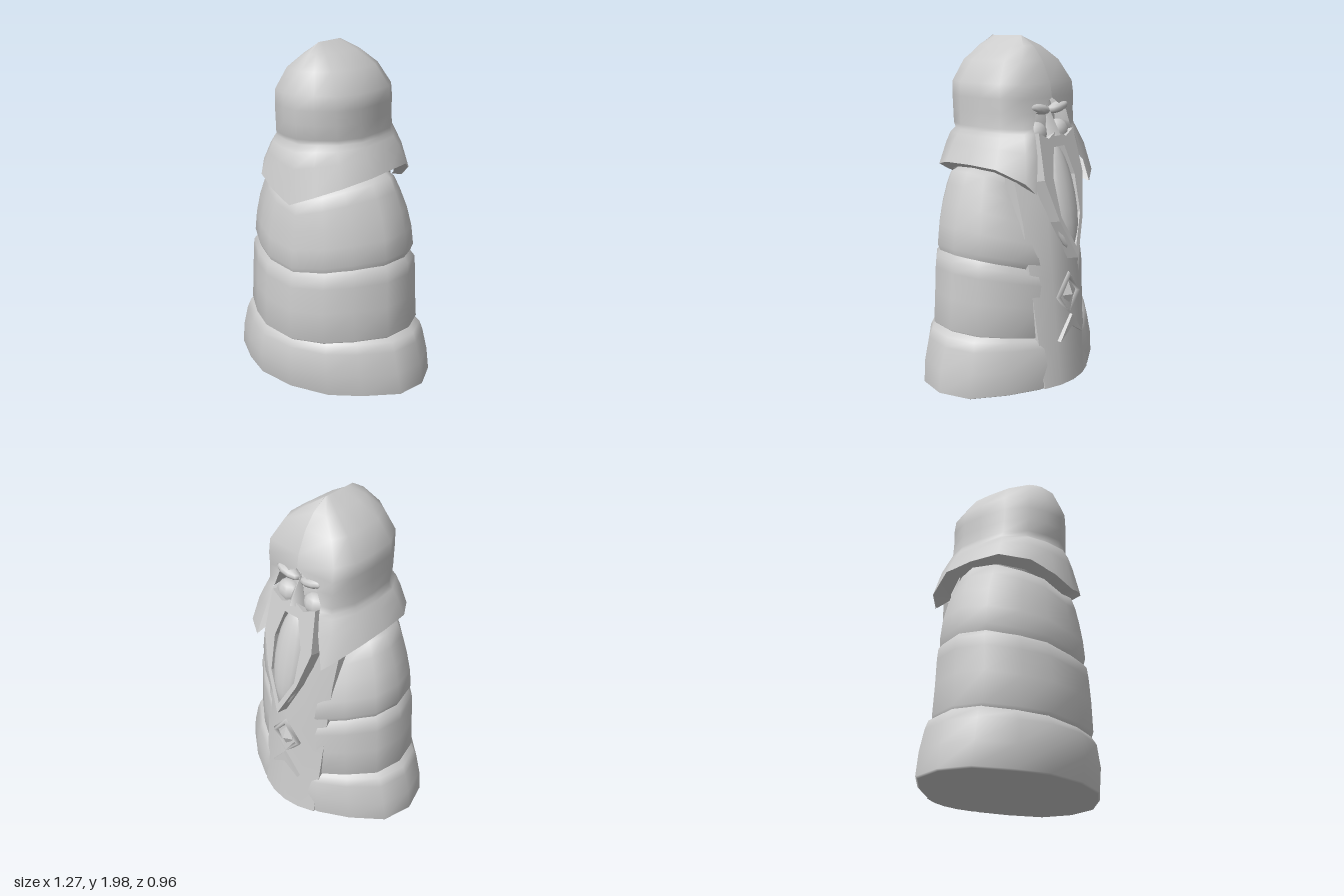
import * as THREE from 'three';

const stone = new THREE.MeshStandardMaterial({ color: 0xcccccc, side: THREE.DoubleSide });
stone.name = 'grey stone';

// Half outlines seen from above: [x / half width, z / depth], from +z round to -z
const ROBE = [[0, 1], [0.38, 0.92], [0.65, 0.71], [0.92, 0.41], [1, 0.04], [0.92, -0.37], [0.65, -0.68], [0.37, -0.9], [0, -1]];
const HOOD = [[0, 1], [0.35, 0.92], [0.7, 0.76], [0.96, 0.42], [1, 0], [0.98, -0.5], [0.8, -0.93], [0, -1]];

// Rows run bottom to top: [y, half width, z front, z back, centre drop front, centre drop back, opening half width]
function loft(outline, rows) {
  const pos = [], idx = [];
  const n = outline.length * 2 - 1;
  for (const [y, w, zf, zb, df = 0, db = 0, open = 0] of rows) {
    const half = outline.map(([a, b], i) => {
      const x = i === outline.length - 1 ? open : a * w;
      const drop = (b > 0 ? df : db) * (1 - (w ? Math.min(1, x / w) : 1));
      return [x, y - drop, b > 0 ? b * zf : -b * zb];
    });
    const left = half.slice(1).reverse().map(([x, py, z]) => [-x, py, z]);
    for (const p of [...left, ...half]) pos.push(...p);
  }
  for (let r = 0; r < rows.length - 1; r++) {
    for (let i = 0; i < n - 1; i++) {
      const a = r * n + i, d = a + n;
      idx.push(a, a + 1, d + 1, a, d + 1, d);
    }
  }
  const g = new THREE.BufferGeometry();
  g.setAttribute('position', new THREE.Float32BufferAttribute(pos, 3));
  g.setIndex(idx);
  g.computeVertexNormals();
  return g;
}

const vectors = (points) => points.map(([x, y]) => new THREE.Vector2(x, y));

export function createModel() {
  const model = new THREE.Group();
  const add = (name, geometry, parent = model) => {
    const m = new THREE.Mesh(geometry, stone);
    m.name = name;
    parent.add(m);
    return m;
  };

  // Three overlapping robe tiers
  add('robeHem', loft(ROBE, [
    [0.012, 0, 0, 0], [0.012, 0.62, 0.455, -0.43], [0.02, 0.636, 0.467, -0.44], [0.15, 0.618, 0.485, -0.44],
    [0.28, 0.585, 0.472, -0.425, 0, 0.04], [0.335, 0.565, 0.44, -0.405, 0.01, 0.06], [0.38, 0.49, 0.41, -0.36, 0.03, 0.08],
  ]));
  add('robeMiddle', loft(ROBE, [
    [0.33, 0.5, 0.42, -0.34, 0.03, 0.09], [0.37, 0.538, 0.464, -0.4, 0.035, 0.09], [0.55, 0.525, 0.462, -0.395, 0.04, 0.1],
    [0.7, 0.52, 0.452, -0.39, 0.05, 0.13], [0.765, 0.515, 0.443, -0.38, 0.05, 0.15], [0.81, 0.48, 0.405, -0.34, 0.05, 0.15],
  ]));
  add('robeUpper', loft(ROBE, [
    [0.76, 0.475, 0.405, -0.33, 0.06, 0.15], [0.835, 0.503, 0.438, -0.38, 0.07, 0.15], [0.95, 0.49, 0.43, -0.365, 0.08, 0.16],
    [1.07, 0.462, 0.415, -0.325, 0.09, 0.19], [1.18, 0.42, 0.4, -0.275, 0.11, 0.22], [1.255, 0.385, 0.38, -0.23, 0.12, 0.2],
    [1.29, 0.3, 0.3, -0.2, 0.08, 0.1], [1.3, 0, 0, 0],
  ]));

  // Hood with a stepped, flared lower flap and an opening for the face
  add('hood', loft(HOOD, [
    [1.3, 0.388, 0.452, -0.37, 0.155, 0.4, 0.25], [1.4, 0.343, 0.415, -0.335, 0.06, 0.12, 0.2],
    [1.45, 0.312, 0.392, -0.305, 0.02, 0, 0.18], [1.475, 0.3, 0.35, -0.295, 0.01, 0, 0.175],
    [1.5, 0.293, 0.372, -0.28, 0, 0, 0.17], [1.58, 0.29, 0.38, -0.275, 0, 0, 0.14],
    [1.66, 0.29, 0.385, -0.278, 0, 0, 0], [1.74, 0.288, 0.382, -0.265], [1.86, 0.21, 0.33, -0.21],
    [1.94, 0.1, 0.25, -0.145], [1.995, 0, 0.16, -0.06],
  ]));

  // Turned-under rim of the hood
  add('hoodLining', loft(HOOD, [
    [1.27, 0.33, 0.36, -0.26, 0.13, 0.3, 0.24], [1.3, 0.386, 0.45, -0.365, 0.155, 0.4, 0.25],
  ]));

  // Face inside the hood
  const head = add('head', new THREE.SphereGeometry(1, 16, 12));
  head.scale.set(0.24, 0.32, 0.24);
  head.position.set(0, 1.46, -0.01);
  const nose = add('nose', new THREE.ConeGeometry(0.06, 0.18, 4));
  nose.position.set(0, 1.53, -0.265);
  nose.rotation.x = 0.2;
  for (const s of [-1, 1]) {
    const brow = add('brow', new THREE.SphereGeometry(1, 10, 6));
    brow.scale.set(0.085, 0.03, 0.04);
    brow.position.set(s * 0.085, 1.6, -0.255);
    brow.rotation.z = s * 0.2;
    const cheek = add('cheek', new THREE.SphereGeometry(1, 10, 8));
    cheek.scale.set(0.08, 0.07, 0.06);
    cheek.position.set(s * 0.1, 1.46, -0.24);
  }

  // Long beard framed by hair locks, sloping outward to a point
  const beard = new THREE.Group();
  beard.name = 'beardGroup';
  beard.position.set(0, 1.42, -0.325);
  beard.rotation.x = 0.23;
  model.add(beard);
  const locks = new THREE.Shape(vectors([[-0.16, 0.06], [-0.08, 0.02], [0, 0.06], [0.08, 0.02], [0.16, 0.06],
    [0.18, -0.2], [0.11, -0.44], [0, -0.67], [-0.11, -0.44], [-0.18, -0.2]]));
  locks.holes.push(new THREE.Path(vectors([[-0.05, -0.03], [-0.1, -0.2], [-0.09, -0.42], [0, -0.6], [0.09, -0.42], [0.1, -0.2], [0.05, -0.03]])));
  add('hairLocks', new THREE.ExtrudeGeometry(locks, { depth: 0.08, bevelEnabled: false }), beard);
  const strands = add('beard', new THREE.SphereGeometry(1, 14, 12), beard);
  strands.scale.set(0.105, 0.31, 0.065);
  strands.position.set(0, -0.31, 0.045);

  // Central robe panel, bowed outward along its middle and widening toward the shoulders
  const panelGeo = new THREE.BoxGeometry(1, 1, 1, 4, 4, 1);
  const p = panelGeo.attributes.position;
  const outer = [-0.46, -0.432, -0.408, -0.385, -0.33];
  for (let i = 0; i < p.count; i++) {
    const t = p.getY(i) + 0.5, x = p.getX(i);
    const z = outer[Math.round(t * 4)] + (0.05 + 0.08 * t) * 4 * x * x;
    p.setXYZ(i, x * (0.42 + 0.1 * t), 0.015 + t * 1.27, p.getZ(i) < 0 ? z : -0.15);
  }
  panelGeo.computeVertexNormals();
  add('frontPanel', panelGeo);

  // Diamond clasp and the arrow-shaped tab below it
  const ring = add('claspFrame', new THREE.TorusGeometry(0.095, 0.018, 4, 4));
  ring.scale.y = 1.2;
  ring.position.set(0, 0.54, -0.41);
  const gem = add('claspGem', new THREE.OctahedronGeometry(1));
  gem.scale.set(0.055, 0.075, 0.03);
  gem.position.set(0, 0.54, -0.412);
  const tab = add('claspTab', new THREE.ExtrudeGeometry(
    new THREE.Shape(vectors([[0, 0.42], [0.11, 0.28], [0, 0.35], [-0.11, 0.28]])), { depth: 0.05, bevelEnabled: false }));
  tab.position.z = -0.444;

  return model;
}
